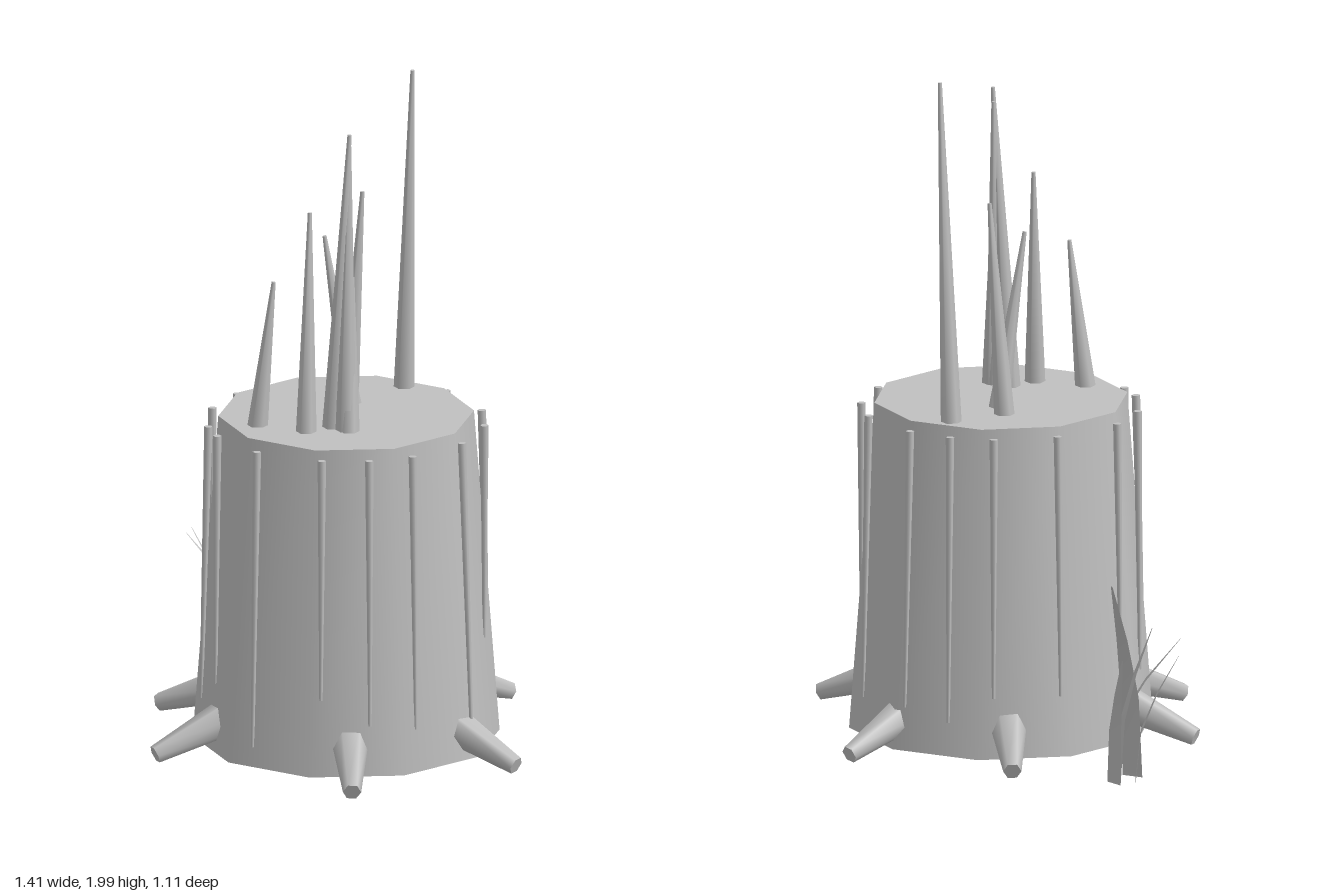
import * as THREE from 'three';

const CX = 0.085, CZ = 0.027;               // stump axis
const BASE_Y = 0.02, TOP_Y = 1.0;
const R_BOTTOM = 0.45, R_TOP = 0.375, SIDES = 10;

const wood = new THREE.MeshStandardMaterial({ color: 0xc0c0c0 });
wood.name = 'plain grey';
const leaf = new THREE.MeshStandardMaterial({ color: 0xc0c0c0, side: THREE.DoubleSide });
leaf.name = 'plain grey leaf';

// Tapered rod running from point a (radius ra) to point b (radius rb)
function rod(name, a, b, ra, rb, sides = 6) {
  const dir = b.clone().sub(a);
  const mesh = new THREE.Mesh(new THREE.CylinderGeometry(rb, ra, dir.length(), sides), wood);
  mesh.name = name;
  mesh.position.copy(a).add(b).multiplyScalar(0.5);
  mesh.quaternion.setFromUnitVectors(new THREE.Vector3(0, 1, 0), dir.normalize());
  return mesh;
}

// Point around the stump axis; angle runs from +x towards +z
const around = (angle, r, y) =>
  new THREE.Vector3(CX + Math.cos(angle) * r, y, CZ + Math.sin(angle) * r);

// Distance from the axis to the faceted stump wall
function wallRadius(angle, y) {
  const r = THREE.MathUtils.lerp(R_BOTTOM, R_TOP, (y - BASE_Y) / (TOP_Y - BASE_Y));
  const step = (2 * Math.PI) / SIDES;
  const local = THREE.MathUtils.euclideanModulo(angle, step) - step / 2;
  return (r * Math.cos(step / 2)) / Math.cos(local);
}

// Flat grass blade that rises, then bends over to its tip
function blade([bx, bz, tx, ty, tz, width, turn]) {
  const wx = Math.cos(turn) * width / 2, wz = Math.sin(turn) * width / 2;
  const pos = [], index = [];
  // rows: height share, sideways share, width share
  [[0, 0, 1], [0.4, 0.13, 0.9], [0.7, 0.5, 0.55], [1, 1, 0.08]].forEach(([h, s, w], i) => {
    const x = bx + (tx - bx) * s, z = bz + (tz - bz) * s, y = BASE_Y + (ty - BASE_Y) * h;
    pos.push(x - wx * w, y, z - wz * w, x + wx * w, y, z + wz * w);
    if (i) {
      const k = 2 * i;
      index.push(k - 2, k - 1, k, k - 1, k + 1, k);
    }
  });
  const geo = new THREE.BufferGeometry();
  geo.setAttribute('position', new THREE.Float32BufferAttribute(pos, 3));
  geo.setIndex(index);
  geo.computeVertexNormals();
  const mesh = new THREE.Mesh(geo, leaf);
  mesh.name = 'grassBlade';
  return mesh;
}

export function createModel() {
  const model = new THREE.Group();
  model.name = 'brokenStump';
  const group = (name) => {
    const g = new THREE.Group();
    g.name = name;
    model.add(g);
    return g;
  };

  // Trunk, with a corner pointing along x
  const trunk = new THREE.Mesh(
    new THREE.CylinderGeometry(R_TOP, R_BOTTOM, TOP_Y - BASE_Y, SIDES, 1, false, Math.PI / 2), wood);
  trunk.name = 'trunk';
  trunk.position.set(CX, (TOP_Y + BASE_Y) / 2, CZ);
  model.add(trunk);

  // Roots: x and z of each tip
  const roots = group('roots');
  [[0.70, 0.065], [0.425, 0.54], [-0.26, 0.53], [-0.53, 0.09], [-0.22, -0.505], [0.295, -0.55]]
    .forEach(([x, z]) => {
      const angle = Math.atan2(z - CZ, x - CX);
      roots.add(rod('root', around(angle, 0.33, 0.137), around(angle, 0.61, 0.03), 0.062, 0.027));
    });

  // Bark ridges: x and z of the top end, height of the lower end
  const bark = group('barkRidges');
  [[-0.09, -0.37, 0.2], [0.045, -0.405, 0.12], [0.19, -0.395, 0.15], [0.37, -0.26, 0.13],
    [0.455, -0.14, 0.33], [0.49, 0.04, 0.05], [0.435, 0.225, 0.15], [0.353, 0.33, 0.17],
    [0.235, 0.4, 0.25], [0.03, 0.425, 0.08], [-0.148, 0.353, 0.22], [-0.216, 0.29, 0.15],
    [-0.304, 0.133, 0.2], [-0.315, -0.02, 0.25], [-0.224, -0.225, 0.2]]
    .forEach(([x, z, low]) => {
      const angle = Math.atan2(z - CZ, x - CX);
      bark.add(rod('barkRidge', around(angle, wallRadius(angle, low), low),
        around(angle, 0.408, 0.98), 0.005, 0.0125));
    });

  // Splinters: base x and z, then tip x, y and z
  const splinters = group('splinters');
  [[0.09, -0.285, 0.163, 2.0, -0.215], [-0.01, -0.137, 0.042, 1.63, -0.132],
    [0.045, -0.07, -0.008, 1.52, -0.003], [-0.075, 0.263, -0.032, 1.44, 0.24],
    [0.08, 0.24, 0.054, 1.65, 0.178], [0.185, 0.17, 0.155, 1.45, 0.105],
    [0.12, 0.16, 0.172, 1.9, 0.148], [0.17, 0.165, 0.165, 1.86, 0.138]]
    .forEach(([x, z, tx, ty, tz]) => splinters.add(rod('splinter',
      new THREE.Vector3(x, 0.98, z), new THREE.Vector3(tx, ty, tz), 0.031, 0.006)));

  // Grass tuft: base x and z, tip x, y and z, width, turn
  const grass = group('grassTuft');
  [[-0.58, -0.42, -0.705, 0.41, -0.385, 0.06, 1.1], [-0.54, -0.36, -0.565, 0.64, -0.545, 0.065, 0],
    [-0.53, -0.43, -0.645, 0.5, -0.44, 0.06, 0.9], [-0.475, -0.37, -0.655, 0.43, -0.275, 0.065, 1.1],
    [-0.53, -0.46, -0.6, 0.42, -0.545, 0.06, 0.4]]
    .forEach((spec) => grass.add(blade(spec)));

  return model;
}
